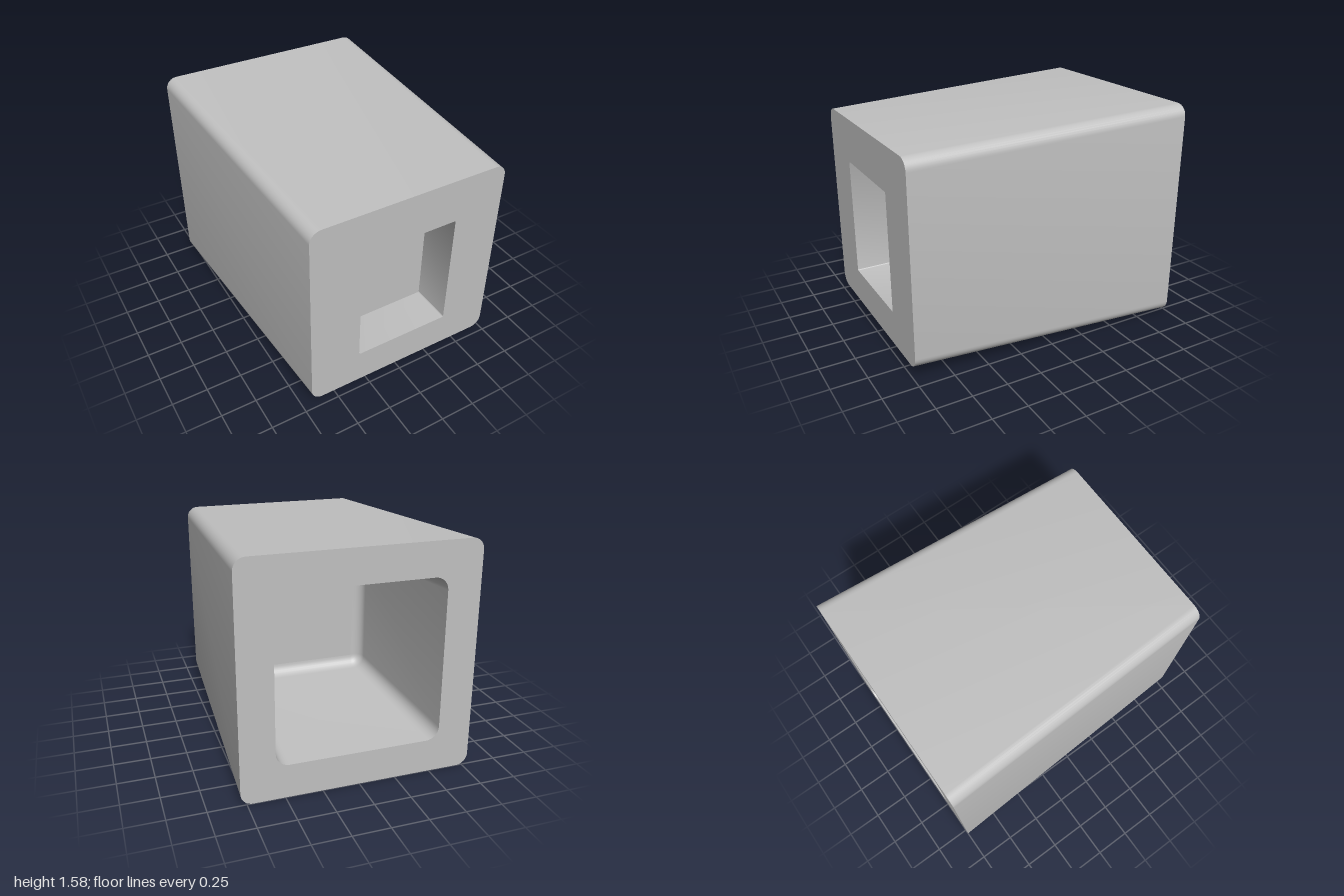
import * as THREE from 'three';
import { toCreasedNormals } from 'three/addons/utils/BufferGeometryUtils.js';

const STEPS = 8; // segments per rounded corner

// Counter-clockwise rounded rectangle, given half sizes, corner radius and centre height
function outline({ w, h, r, y }) {
  const points = [];
  [[1, 1], [-1, 1], [-1, -1], [1, -1]].forEach(([sx, sy], corner) => {
    for (let i = 0; i <= STEPS; i++) {
      const a = (corner + i / STEPS) * Math.PI / 2;
      points.push(new THREE.Vector2(
        sx * (w - r) + r * Math.cos(a),
        y + sy * (h - r) + r * Math.sin(a)));
    }
  });
  return points;
}

// Skin between rings: rising z faces outward, falling z faces inward
function loft(rings) {
  const positions = [], index = [];
  const n = 4 * (STEPS + 1);
  rings.forEach((ring, k) => {
    outline(ring).forEach((p, i) => {
      positions.push(p.x, p.y, ring.z);
      if (k === 0) return;
      const a = (k - 1) * n + i, b = (k - 1) * n + (i + 1) % n;
      index.push(a, b, b + n, a, b + n, a + n);
    });
  });
  const geometry = new THREE.BufferGeometry();
  geometry.setAttribute('position', new THREE.Float32BufferAttribute(positions, 3));
  geometry.setIndex(index);
  return toCreasedNormals(geometry, 0.6);
}

// Flat end, optionally pierced by a second outline
function cap(ring, hole, facesBack) {
  const shape = new THREE.Shape(outline(ring));
  if (hole) shape.holes.push(new THREE.Path(outline(hole)));
  const geometry = new THREE.ShapeGeometry(shape);
  if (facesBack) geometry.rotateY(Math.PI);
  return geometry.translate(0, 0, ring.z);
}

export function createModel() {
  const model = new THREE.Group();
  model.name = 'taperedSleeve';
  const grey = new THREE.MeshStandardMaterial({ color: 0xc0c0c0 });
  grey.name = 'plainGrey';
  const add = (name, geometry) => {
    const mesh = new THREE.Mesh(geometry, grey);
    mesh.name = name;
    model.add(mesh);
  };

  // Tapered outer body
  const y = 0.79;
  const back = { w: 0.79, h: 0.79, r: 0.08, y, z: -1 };
  const front = { w: 0.702, h: 0.702, r: 0.08, y, z: 1 };

  // Straight rectangular pocket in the front
  const pocketMouth = { w: 0.345, h: 0.422, r: 0.008, y: 0.757, z: 1 };
  const pocketEnd = { ...pocketMouth, z: 0.71 };

  // Deep tapered cavity in the back, with a filleted floor
  const cavityMouth = { w: 0.56, h: 0.56, r: 0.09, y, z: -1 };
  const floorZ = 0.24, fillet = 0.08, floorHalf = 0.505;
  const cavity = [];
  for (let k = 0; k <= STEPS; k++) {
    const a = k / STEPS * Math.PI / 2;
    const inset = fillet * (1 - Math.sin(a));
    const half = floorHalf - inset;
    cavity.push({ w: half, h: half, r: 0.09 - inset, y, z: floorZ - fillet * (1 - Math.cos(a)) });
  }
  cavity.push(cavityMouth);

  add('outerWalls', loft([back, front]));
  add('frontFace', cap(front, pocketMouth, false));
  add('pocketWalls', loft([pocketMouth, pocketEnd]));
  add('pocketFloor', cap(pocketEnd, null, false));
  add('backRim', cap(back, cavityMouth, true));
  add('cavityWalls', loft(cavity));
  add('cavityFloor', cap(cavity[0], null, true));
  return model;
}
